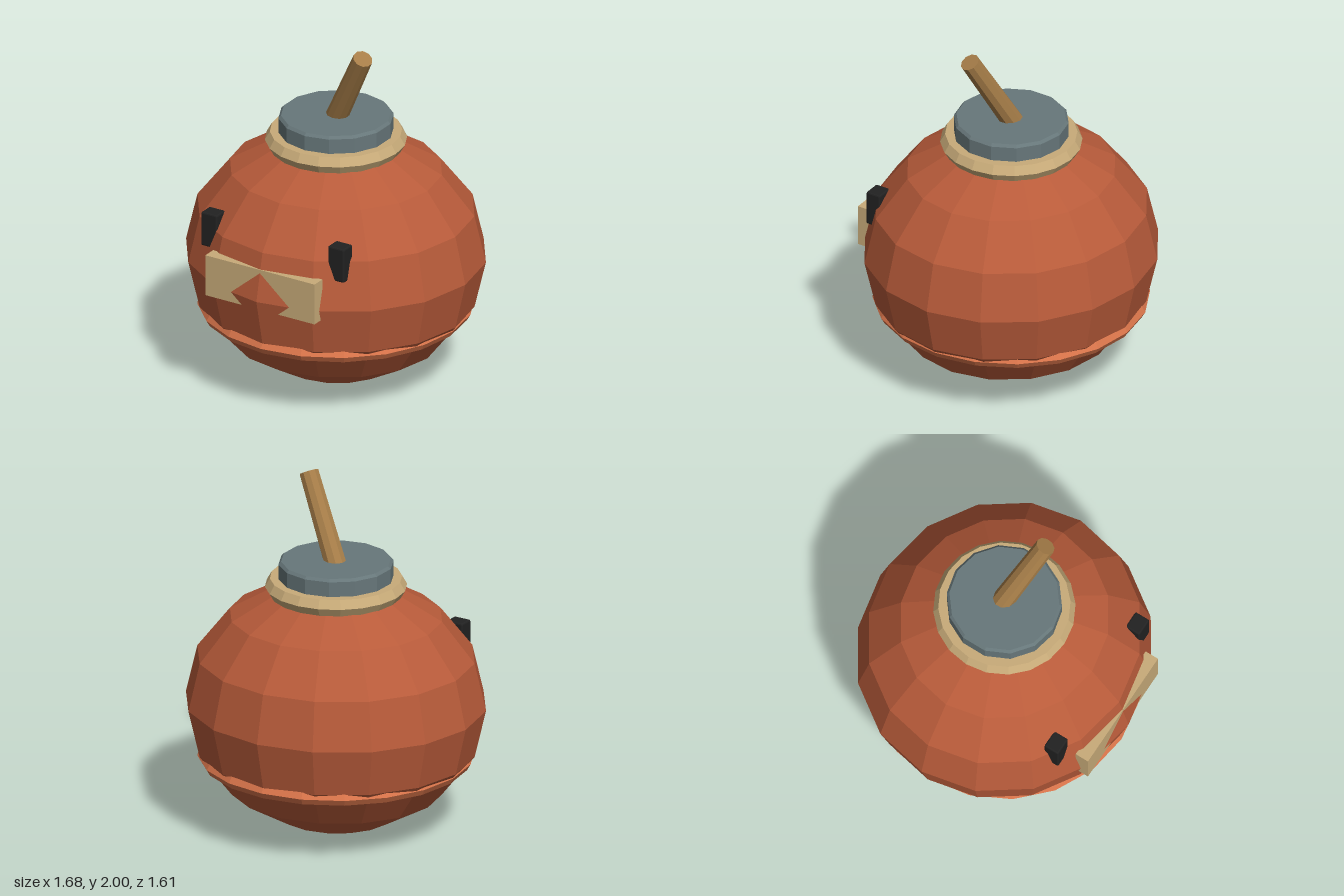
import * as THREE from 'three';
import { RoundedBoxGeometry } from 'three/addons/geometries/RoundedBoxGeometry.js';

const material = (name, color) => {
  const m = new THREE.MeshStandardMaterial({ color, flatShading: true });
  m.name = name;
  return m;
};

export function createModel() {
  const group = new THREE.Group();
  const clay = material('clay red', 0xb85b3a);
  const orange = material('light orange', 0xd8744a);
  const tan = material('tan', 0xc8ab79);
  const slate = material('slate', 0x67777a);
  const wood = material('wood', 0xa67d48);
  const black = material('black', 0x222222);

  const add = (name, geometry, mat, x = 0, y = 0, z = 0) => {
    const mesh = new THREE.Mesh(geometry, mat);
    mesh.name = name;
    mesh.position.set(x, y, z);
    group.add(mesh);
    return mesh;
  };
  const ring = (radius, tube, segments) =>
    new THREE.TorusGeometry(radius, tube, 6, segments).rotateX(Math.PI / 2);

  // Faceted round pot, slightly flattened front to back
  add('body', new THREE.SphereGeometry(1, 16, 8).scale(0.84, 0.712, 0.806), clay, 0, 0.715, 0);

  // Raised band low on the body and collar at the neck
  add('lowerBand', ring(0.72, 0.04, 20), orange, 0, 0.415, 0);
  add('collar', ring(0.335, 0.055, 20), tan, 0, 1.392, 0);

  // Stopper with a small bevel
  const capProfile = [[0, 1.36], [0.317, 1.36], [0.317, 1.525], [0.303, 1.54], [0, 1.54]]
    .map(([r, y]) => new THREE.Vector2(r, y));
  add('cap', new THREE.LatheGeometry(capProfile, 14), slate);

  // Leaning stick on top
  const base = new THREE.Vector3(-0.01, 1.5, -0.01);
  const tip = new THREE.Vector3(0.245, 1.97, 0.11);
  const direction = tip.clone().sub(base);
  const stick = add('stick', new THREE.CylinderGeometry(0.055, 0.062, direction.length(), 10), wood);
  stick.position.copy(base).add(tip).multiplyScalar(0.5);
  stick.quaternion.setFromUnitVectors(new THREE.Vector3(0, 1, 0), direction.normalize());

  // Eyes and mouth plate, partly sunk into the body
  for (const side of [-1, 1]) {
    add(side > 0 ? 'leftEye' : 'rightEye',
      new RoundedBoxGeometry(0.104, 0.2, 0.09, 1, 0.008), black, side * 0.412, 0.98, 0.6);
  }
  add('mouthPlate', new THREE.BoxGeometry(0.71, 0.24, 0.08), tan, 0, 0.775, 0.73);

  return group;
}
